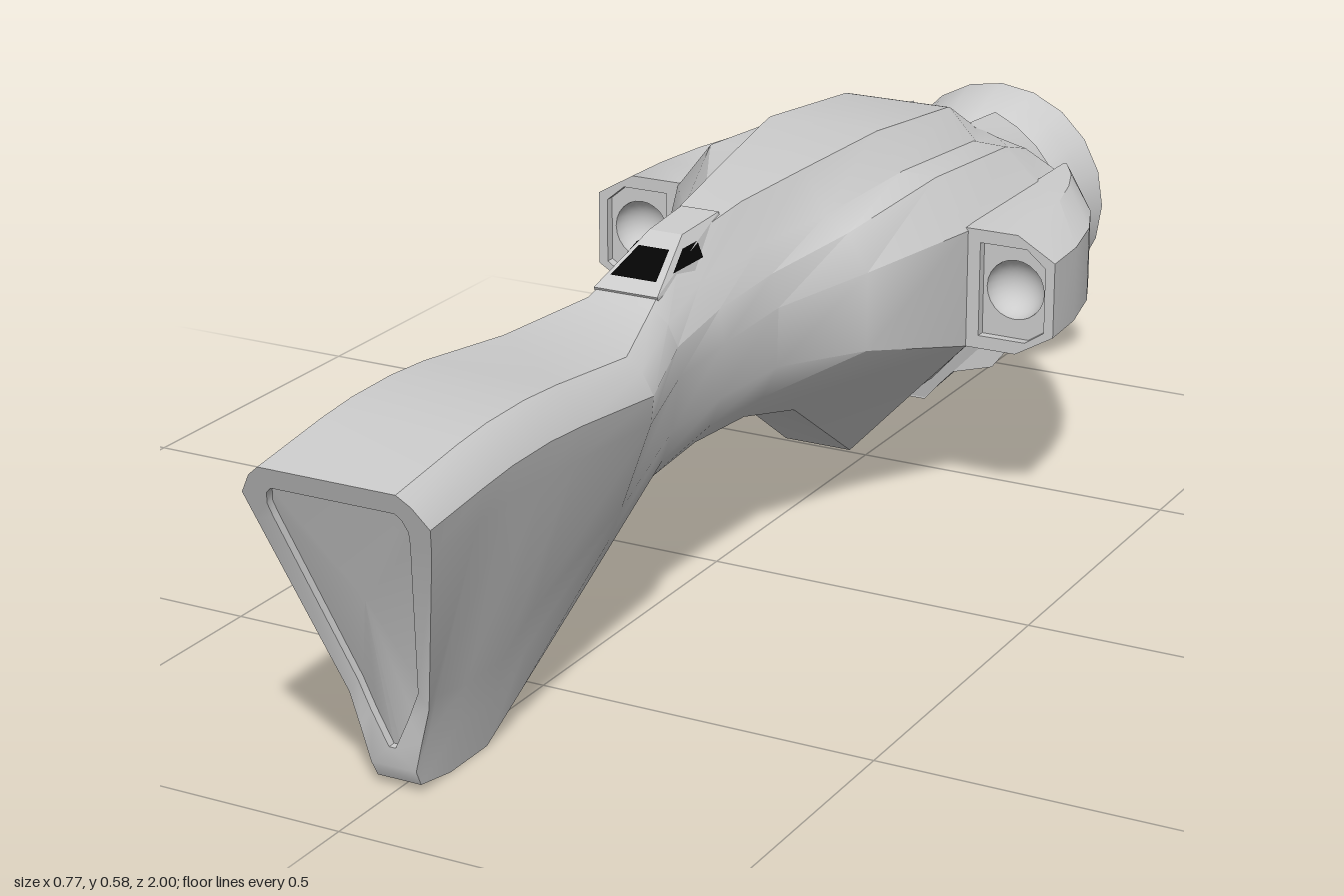
import * as THREE from 'three';
import { toCreasedNormals } from 'three/addons/utils/BufferGeometryUtils.js';
import { ConvexGeometry } from 'three/addons/geometries/ConvexGeometry.js';

const grey = new THREE.MeshStandardMaterial({ color: 0xcccccc });
const greyDouble = new THREE.MeshStandardMaterial({ color: 0xcccccc, side: THREE.DoubleSide });
const black = new THREE.MeshStandardMaterial({ color: 0x050505, side: THREE.DoubleSide });

const AXIS_Y = 0.305; // height of the engine axis

function mesh(name, geometry, material = grey) {
  const m = new THREE.Mesh(geometry, material);
  m.name = name;
  return m;
}

// Skin rings of [x, y, z] points, listed clockwise as seen from the front, front ring first.
function loft(rings, capFront, capBack, crease = 0.6) {
  const n = rings[0].length, pos = [];
  const tri = (...pts) => pts.forEach((p) => pos.push(...p));
  for (let i = 0; i + 1 < rings.length; i++) {
    for (let j = 0; j < n; j++) {
      const k = (j + 1) % n;
      const a = rings[i][j], b = rings[i][k], c = rings[i + 1][j], d = rings[i + 1][k];
      tri(a, b, c);
      tri(b, d, c);
    }
  }
  const cap = (ring, front) => {
    const mid = [0, 1, 2].map((q) => ring.reduce((s, p) => s + p[q], 0) / n);
    ring.forEach((p, j) => (front ? tri(mid, ring[(j + 1) % n], p) : tri(mid, p, ring[(j + 1) % n])));
  };
  if (capFront) cap(rings[0], true);
  if (capBack) cap(rings[rings.length - 1], false);
  const g = new THREE.BufferGeometry();
  g.setAttribute('position', new THREE.Float32BufferAttribute(pos, 3));
  return toCreasedNormals(g, crease);
}

// Full ring from a half outline running from top to keel
const mirrored = (half) => [...half, ...half.map(([x, y, z]) => [-x, y, z]).reverse()];

function hull() {
  const faceZ = (y) => (y > 0.16 ? 0.88 + (y - 0.16) * 0.387 : 0.87 + y * 0.0625);
  const at = (z, ...half) => mirrored(half.map(([x, y]) => [x, y, z]));
  const onFace = (depth, half) => mirrored(half.map(([x, y]) => [x, y, faceZ(y) - depth]));
  const panel = [[0.09, 0.44], [0.098, 0.432], [0.103, 0.415], [0.1, 0.395], [0.045, 0.15], [0.028, 0.11], [0.005, 0.063]];
  const rim = [[0.1, 0.47], [0.118, 0.455], [0.137, 0.425], [0.128, 0.385], [0.06, 0.13], [0.046, 0.08], [0.034, 0.035]];
  const head = (z, top, bottom) => at(z, [0.1, top], [0.12, top - 0.018], [0.137, top - 0.05], [0.128, top - 0.1],
    [0.06, bottom + 0.13], [0.046, bottom + 0.07], [0.033, bottom]);
  const belly = (z, top, shoulder, lower, keel) => at(z, [0.088, top], [0.133, shoulder], [0.188, shoulder - 0.002],
    [0.245, 0.455], [0.245, 0.275], lower, keel);
  const flush = [[0.178, 0.205], [0.055, 0.075]], inset = [[0.16, 0.212], [0.07, 0.112]];
  return loft([
    onFace(0.012, panel),
    onFace(0, panel),
    onFace(0, rim),
    head(0.86, 0.488, 0.012),
    head(0.79, 0.494, 0),
    head(0.7, 0.495, 0),
    head(0.62, 0.49, 0.04),
    at(0.43, [0.095, 0.468], [0.118, 0.452], [0.136, 0.42], [0.132, 0.38], [0.085, 0.25], [0.065, 0.2], [0.045, 0.155]),
    at(0.28, [0.05, 0.485], [0.075, 0.465], [0.09, 0.435], [0.092, 0.39], [0.08, 0.31], [0.065, 0.265], [0.045, 0.235]),
    at(0.15, [0.026, 0.538], [0.055, 0.485], [0.085, 0.45], [0.092, 0.4], [0.088, 0.32], [0.07, 0.275], [0.045, 0.245]),
    at(0, [0.04, 0.56], [0.07, 0.5], [0.09, 0.46], [0.1, 0.41], [0.098, 0.32], [0.075, 0.27], [0.045, 0.235]),
    at(-0.15, [0.062, 0.572], [0.1, 0.508], [0.135, 0.485], [0.168, 0.43], [0.168, 0.31], [0.11, 0.245], [0.05, 0.198]),
    belly(-0.33, 0.585, 0.53, ...flush),
    belly(-0.338, 0.585, 0.53, ...inset),
    belly(-0.592, 0.56, 0.512, ...inset),
    belly(-0.6, 0.558, 0.51, ...flush),
    at(-0.71, [0.08, 0.5], [0.12, 0.487], [0.17, 0.475], [0.235, 0.44], [0.235, 0.275], [0.175, 0.205], [0.058, 0.092]),
  ], true, true);
}

// Rounded under-body block just ahead of the engine ring
function skirt() {
  const half = [[0.21, 0.33], [0.22, 0.245], [0.205, 0.19], [0.17, 0.145], [0.1, 0.125], [0.055, 0.072]];
  const at = (z, k) => mirrored(half.map(([x, y]) => [x * k, AXIS_Y + (y - AXIS_Y) * k, z]));
  return loft([at(-0.6, 1), at(-0.71, 0.93)], true, true);
}

// Side pod with a framed front opening and a round bowl
function pod(side) {
  const group = new THREE.Group();
  group.name = side > 0 ? 'leftPod' : 'rightPod';
  const flip = (pts) => (side > 0 ? pts : pts.map(([x, y, z]) => [-x, y, z]).reverse());
  const outer = [[0.235, 0.46], [0.325, 0.46], [0.385, 0.425], [0.385, 0.31], [0.325, 0.275], [0.235, 0.275]];
  const inner = [[0.265, 0.44], [0.34, 0.44], [0.37, 0.415], [0.37, 0.315], [0.34, 0.295], [0.265, 0.295]];
  const at = (pts, z, k = 1) => flip(pts.map(([x, y]) => [0.235 + (x - 0.235) * k, y, z]));
  group.add(mesh('podShell', loft([
    at(inner, -0.345), at(inner, -0.33), at(outer, -0.33), at(outer, -0.42, 0.97),
    at(outer, -0.52, 0.83), at(outer, -0.6, 0.62), at(outer, -0.66, 0.38), at(outer, -0.71, 0.06),
  ], false, true)));

  const plate = new THREE.Shape(flip(inner).map(([x, y]) => new THREE.Vector2(x, y)));
  const hole = new THREE.Path();
  hole.absarc(side * 0.317, 0.37, 0.046, 0, Math.PI * 2, false);
  plate.holes.push(hole);
  const face = mesh('podFace', new THREE.ShapeGeometry(plate, 12));
  face.position.z = -0.345;
  const bowl = mesh('podBowl', new THREE.SphereGeometry(0.046, 24, 10, 0, Math.PI * 2, 0, Math.PI / 2), greyDouble);
  bowl.rotation.x = -Math.PI / 2;
  bowl.position.set(side * 0.317, 0.37, -0.345);
  group.add(face, bowl);
  return group;
}

// Raised cockpit with dark panes
function cockpit() {
  const group = new THREE.Group();
  group.name = 'cockpit';
  const corners = [[0.05, 0.495, 0.265], [0.05, 0.465, 0.25], [0.026, 0.55, 0.15], [0.03, 0.557, 0.05], [0.05, 0.48, 0.05]];
  group.add(mesh('canopy', new ConvexGeometry(mirrored(corners).map((p) => new THREE.Vector3(...p)))));
  const pane = (name, a, b, c, d) => {
    const g = new THREE.BufferGeometry();
    g.setAttribute('position', new THREE.Float32BufferAttribute([a, b, c, a, c, d].flat(), 3));
    g.computeVertexNormals();
    group.add(mesh(name, g, black));
  };
  pane('frontWindow', [-0.036, 0.509, 0.243], [0.036, 0.509, 0.243], [0.024, 0.537, 0.184], [-0.024, 0.537, 0.184]);
  for (const s of [1, -1]) {
    pane('sideWindow', [s * 0.0445, 0.513, 0.21], [s * 0.0365, 0.536, 0.168], [s * 0.0365, 0.536, 0.125], [s * 0.0455, 0.513, 0.125]);
  }
  return group;
}

// Turn a closed or open [radius, z] profile about the engine axis
function turned(name, profile, sides, material, start = 0, sweep = Math.PI * 2) {
  const g = new THREE.LatheGeometry(profile.map(([r, z]) => new THREE.Vector2(r, z)), sides, start, sweep);
  const m = mesh(name, toCreasedNormals(g, 0.6), material);
  m.rotation.x = Math.PI / 2;
  m.position.y = AXIS_Y;
  return m;
}

function engine() {
  const group = new THREE.Group();
  group.name = 'engine';
  group.add(turned('engineCollar', [[0.135, -0.7], [0.165, -0.7], [0.165, -0.795], [0.135, -0.795], [0.135, -0.7]], 24, greyDouble));
  // Bell nozzle, outside wall, lip, inside wall and throat
  group.add(turned('nozzle', [
    [0.115, -0.7], [0.115, -0.79], [0.11, -0.83], [0.135, -0.865], [0.155, -0.9], [0.173, -0.95], [0.185, -1],
    [0.158, -1], [0.148, -0.95], [0.13, -0.9], [0.09, -0.84], [0, -0.82],
  ], 20, greyDouble));
  // Four clamp blocks set diagonally around the collar
  const sweep = 0.85;
  const outline = [[0.155, -0.7], [0.215, -0.7], [0.205, -0.81], [0.155, -0.81]];
  for (let i = 0; i < 4; i++) {
    const mid = Math.PI / 4 + (i * Math.PI) / 2;
    group.add(turned('clamp', [...outline, outline[0]], 4, greyDouble, mid - sweep / 2, sweep));
    for (const end of [-1, 1]) {
      const side = mesh('clampEnd', new THREE.ShapeGeometry(new THREE.Shape(outline.map((p) => new THREE.Vector2(...p)))), greyDouble);
      const holder = new THREE.Group();
      holder.name = 'clampEndHolder';
      side.rotation.y = mid + (end * sweep) / 2 - Math.PI / 2;
      holder.rotation.x = Math.PI / 2;
      holder.position.y = AXIS_Y;
      holder.add(side);
      group.add(holder);
    }
  }
  return group;
}

export function createModel() {
  const model = new THREE.Group();
  model.name = 'spaceship';
  model.add(mesh('hull', hull()), mesh('skirt', skirt()), pod(1), pod(-1), cockpit(), engine());
  return model;
}
